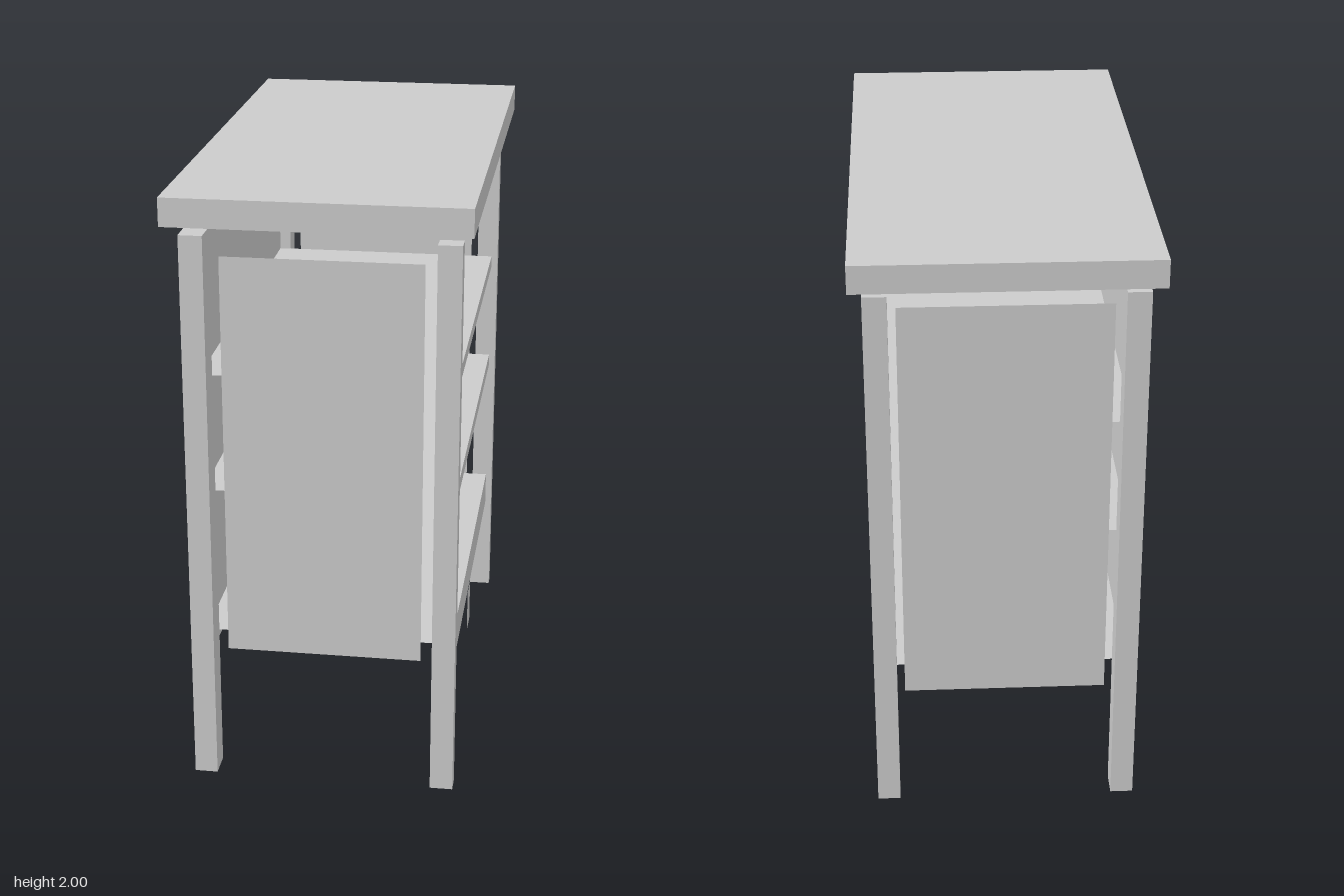
import * as THREE from 'three';

export function createModel() {
  const model = new THREE.Group();
  const mat = new THREE.MeshStandardMaterial({ color: 0xcccccc, flatShading: true });
  const thin = new THREE.MeshStandardMaterial({ color: 0xcccccc, flatShading: true, side: THREE.DoubleSide });

  // box given by its lower and upper limits on each axis
  function box(name, x0, x1, y0, y1, z0, z1, parent = model) {
    const mesh = new THREE.Mesh(new THREE.BoxGeometry(x1 - x0, y1 - y0, z1 - z0), mat);
    mesh.position.set((x0 + x1) / 2, (y0 + y1) / 2, (z0 + z1) / 2);
    mesh.name = name;
    parent.add(mesh);
  }

  // flat sheet centred on a point, turned about x and y
  function sheet(name, w, h, pos, rx = 0, ry = 0, parent = model, material = mat) {
    const mesh = new THREE.Mesh(new THREE.PlaneGeometry(w, h), material);
    mesh.position.set(...pos);
    mesh.rotation.set(rx, ry, 0);
    mesh.name = name;
    parent.add(mesh);
  }

  // table top with a thin lining below
  box('tableTop', -0.47, 0.47, 1.91, 2, -0.9, 0.9);
  sheet('topLining', 0.84, 1.7, [0, 1.905, 0], Math.PI / 2);

  // legs: slim on the open side, deeper on the closed side
  box('openFrontLeg', 0.355, 0.43, 0, 1.86, 0.745, 0.805);
  box('openBackLeg', 0.355, 0.43, 0, 1.86, -0.81, -0.76);
  box('closedFrontLeg', -0.435, -0.36, 0, 1.86, 0.715, 0.805);
  box('closedBackLeg', -0.435, -0.36, 0, 1.86, -0.81, -0.725);

  // closed side wall between the legs
  box('sideWall', -0.435, -0.4, 0.37, 1.86, -0.725, 0.715);

  // end panels
  sheet('frontPanel', 0.635, 1.34, [-0.003, 1.115, 0.76], 0, 0, model, thin);
  sheet('backPanel', 0.66, 1.39, [0, 1.115, -0.777], 0, 0, model, thin);

  // shelves with open ends: top, underside and edge strip
  [['bottomShelf', 0.37, 0.49], ['middleShelf', 0.945, 0.99], ['upperShelf', 1.34, 1.383]].forEach(([name, y0, y1]) => {
    const shelf = new THREE.Group();
    shelf.name = name;
    const x0 = -0.4, x1 = 0.41, depth = 1.445, z = -0.005;
    const cx = (x0 + x1) / 2;
    sheet('shelfTop', x1 - x0, depth, [cx, y1, z], -Math.PI / 2, 0, shelf);
    sheet('shelfUnderside', x1 - x0, depth, [cx, y0, z], Math.PI / 2, 0, shelf);
    sheet('shelfEdge', depth, y1 - y0, [x1, (y0 + y1) / 2, z], 0, Math.PI / 2, shelf);
    model.add(shelf);
  });

  // small plate hanging under the bottom shelf
  sheet('hangingPlate', 0.105, 0.15, [0.41, 0.285, 0.022], 0, Math.PI / 2);

  return model;
}
